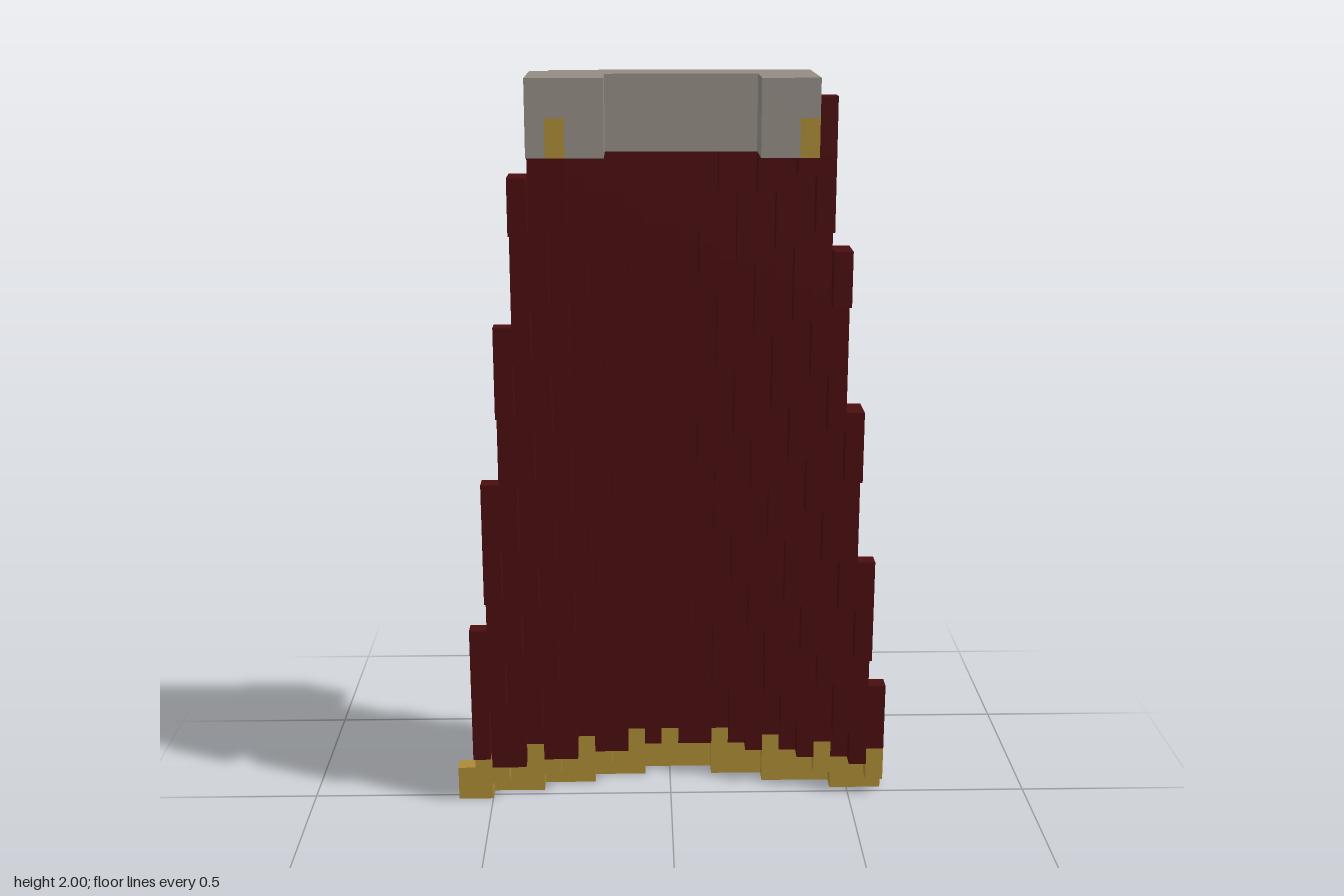
import * as THREE from 'three';

const S = 2 / 42;                 // edge of one cube
const NX = 25, NY = 42, NZ = 9;   // grid size

const material = (name, color) => {
  const m = new THREE.MeshStandardMaterial({ color });
  m.name = name;
  return m;
};

// Flat-faced solid from the cells of one part; faces between cubes are left out
function cubes(cells, part) {
  const pos = [], nor = [];
  for (const [key, name] of cells) {
    if (name !== part) continue;
    const c = key.split(',').map(Number);
    for (let a = 0; a < 3; a++) for (const s of [-1, 1]) {
      const n = [0, 0, 0];
      n[a] = s;
      if (cells.has(c.map((v, j) => v + n[j]).join())) continue;
      const b = (a + 1) % 3, d = (a + 2) % 3;
      const quad = [[0, 0], [1, 0], [1, 1], [0, 1]];
      if (s < 0) quad.reverse();
      for (const q of [0, 1, 2, 0, 2, 3]) {
        const p = [...c];
        p[a] += s > 0 ? 1 : 0;
        p[b] += quad[q][0];
        p[d] += quad[q][1];
        pos.push((p[0] - NX / 2) * S, p[1] * S, (p[2] - NZ / 2) * S);
        nor.push(...n);
      }
    }
  }
  const g = new THREE.BufferGeometry();
  g.setAttribute('position', new THREE.Float32BufferAttribute(pos, 3));
  g.setAttribute('normal', new THREE.Float32BufferAttribute(nor, 3));
  return g;
}

export function createModel() {
  const cells = new Map();
  const fill = (part, x0, x1, y0, y1, z0, z1) => {
    for (let x = x0; x <= x1; x++)
      for (let y = y0; y <= y1; y++)
        for (let z = z0; z <= z1; z++) cells.set([x, y, z].join(), part);
  };

  // Cloth: a curved sheet, wider and further back towards the hem
  for (let y = 0; y < 38; y++) {
    const half = 12.3 - (y - 1.5) / 8.7;
    for (let x = 0; x < NX; x++) {
      if (Math.abs(x - 12.25) > half) continue;
      const bend = (x < 12.5 ? 4.35 : 3.85) * Math.abs(x - 12.5) / half - 0.25;
      const back = (y + 4) / 11 + Math.max(0, bend) - (y < 2 ? 0.33 : 0);
      const z0 = Math.max(0, Math.floor(back + 1e-6));
      const z1 = Math.min(NZ - 1, Math.floor(back + 0.546));
      // Gold hem with a tooth on every third column
      const tooth = y === 2 && x % 3 === (x < 12 ? 1 : 0);
      fill(y < 2 || tooth ? 'hemTrim' : 'cape', x, x, y, y, z0, z1);
    }
  }
  // Cloth edge rising beside the collar
  fill('cape', 20, 20, 38, 40, 7, 7);

  // U-shaped collar with one chipped corner
  fill('collar', 5, 19, 38, 41, 3, 5);
  fill('collar', 5, 8, 38, 41, 6, 8);
  fill('collar', 17, 19, 38, 41, 6, 8);
  cells.delete('5,41,3');

  // Clasps on the collar ends
  for (const x of [6, 19]) fill('clasps', x, x, 38, 39, 8, 8);

  const red = material('dark red cloth', 0x4a0d0e);
  const gold = material('gold', 0xab8a36);
  const grey = material('warm grey', 0x928c84);
  const group = new THREE.Group();
  group.name = 'cape';
  const parts = { cape: red, hemTrim: gold, collar: grey, clasps: gold };
  for (const [name, mat] of Object.entries(parts)) {
    const mesh = new THREE.Mesh(cubes(cells, name), mat);
    mesh.name = name;
    group.add(mesh);
  }
  return group;
}
